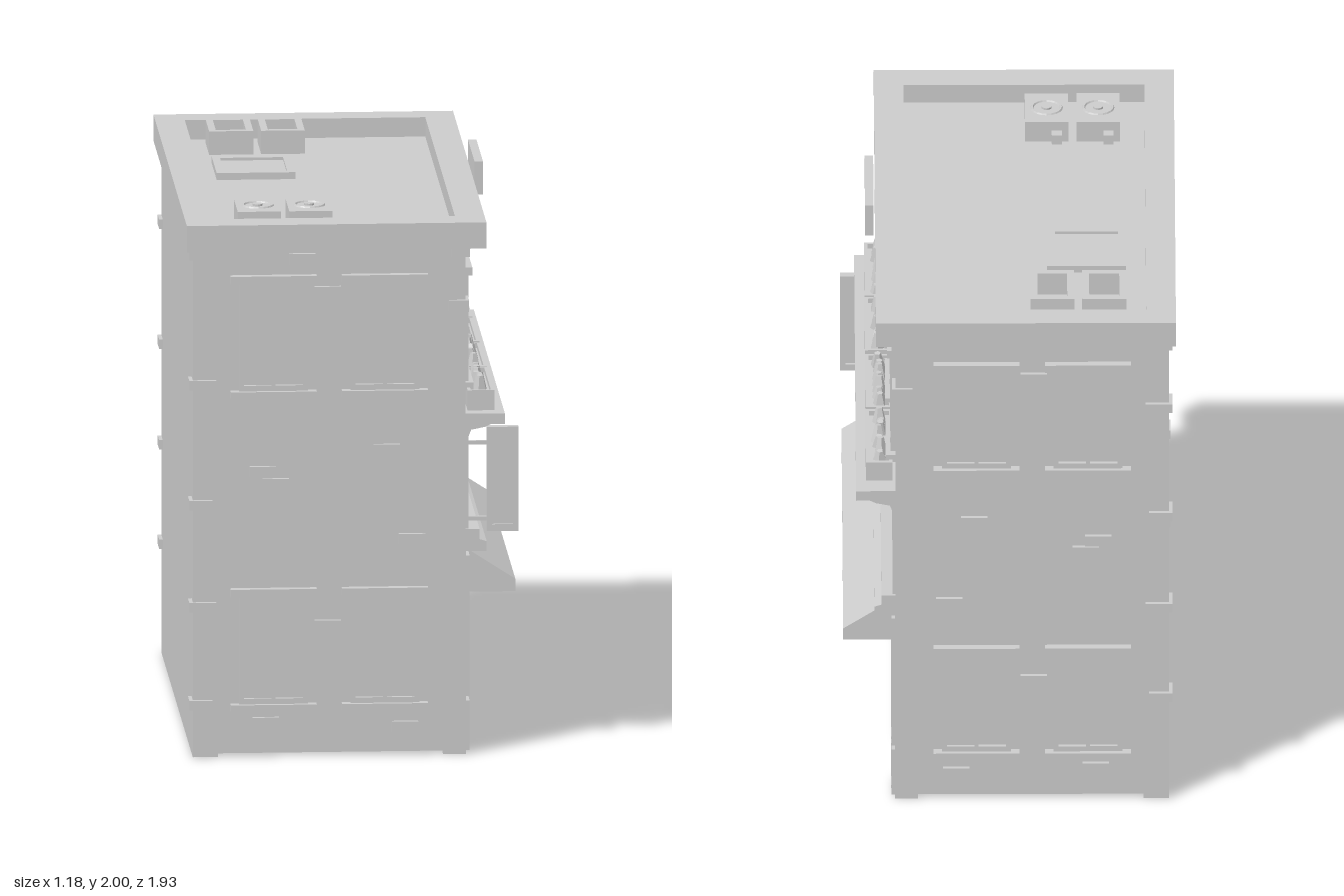
import * as THREE from 'three';

const grey = new THREE.MeshStandardMaterial({ color: 0xcccccc, flatShading: true });
const thin = new THREE.MeshStandardMaterial({ color: 0xcccccc, flatShading: true, side: THREE.DoubleSide });

function add(parent, name, geo, mat = grey) {
  const m = new THREE.Mesh(geo, mat);
  m.name = name;
  parent.add(m);
  return m;
}

// Box given by its extents
function box(parent, name, x0, x1, y0, y1, z0, z1) {
  const m = add(parent, name, new THREE.BoxGeometry(x1 - x0, y1 - y0, z1 - z0));
  m.position.set((x0 + x1) / 2, (y0 + y1) / 2, (z0 + z1) / 2);
  return m;
}

function polygon(pts) {
  return pts.map(p => new THREE.Vector2(p[0], p[1]));
}

// Moulding: an x-y profile run along z
function moulding(parent, name, pts, z0, z1) {
  const geo = new THREE.ExtrudeGeometry(new THREE.Shape(polygon(pts)), { depth: z1 - z0, bevelEnabled: false });
  add(parent, name, geo).position.z = z0;
}

// Rectangular frame in the x-y plane with rectangular holes [x0, x1, y0, y1]
function frame(parent, name, [x0, x1, y0, y1], holes, depth) {
  const rect = (a, b, c, d) => polygon([[a, c], [b, c], [b, d], [a, d]]);
  const s = new THREE.Shape(rect(x0, x1, y0, y1));
  for (const h of holes) s.holes.push(new THREE.Path(rect(...h).reverse()));
  return add(parent, name, new THREE.ExtrudeGeometry(s, { depth, bevelEnabled: false }));
}

// Two-light sash window facing +z, origin at the bottom centre of the frame
function sashWindow(parent, x, y, z, ry) {
  const g = new THREE.Group();
  g.name = 'window';
  frame(g, 'windowFrame', [-0.122, 0.122, 0, 0.39],
    [[-0.105, -0.007, 0.02, 0.37], [0.007, 0.105, 0.02, 0.37]], 0.018);
  box(g, 'windowGlass', -0.11, 0.11, 0.01, 0.38, -0.02, 0.005);
  box(g, 'lintel', -0.153, 0.153, 0.388, 0.418, -0.02, 0.03);
  box(g, 'sill', -0.153, 0.153, -0.027, 0, -0.02, 0.035);
  g.position.set(x, y, z);
  g.rotation.y = ry;
  parent.add(g);
}

export function createModel() {
  const root = new THREE.Group();
  root.name = 'shopBuilding';
  let seed = 7;
  const rnd = () => (seed = (seed * 16807) % 2147483647) / 2147483647;

  // Walls, open underneath
  box(root, 'blankWall', -0.57, -0.54, 0, 1.85, -0.9, 0.9);
  box(root, 'upperShopWall', 0.37, 0.4, 0.72, 1.85, -0.9, 0.9);

  const bricks = [[-0.18, 1.8], [-0.09, 1.68], [-0.32, 1.03], [-0.275, 0.985], [0.12, 1.105],
    [0.21, 0.78], [-0.09, 0.47], [-0.31, 0.12], [0.185, 0.1]];

  // Two end walls with windows, corner piers and projecting bricks
  for (const s of [1, -1]) {
    const end = new THREE.Group();
    end.name = s > 0 ? 'frontWall' : 'backWall';
    root.add(end);
    const slab = (name, x0, x1, y0, y1, a, b) => box(end, name, x0, x1, y0, y1, Math.min(s * a, s * b), Math.max(s * a, s * b));
    slab('endWall', -0.56, 0.39, 0.01, 1.85, 0.855, 0.885);
    slab('cornerPier', -0.57, -0.48, 0, 1.85, 0.85, 0.9);
    slab('cornerPier', 0.32, 0.4, 0, 1.85, 0.85, 0.9);
    for (const wx of [-0.283, 0.113]) for (const wy of [0.19, 1.325])
      sashWindow(end, wx, wy, s * 0.885, s > 0 ? 0 : Math.PI);
    for (const [x, y] of bricks) slab('brick', x - 0.047, x + 0.047, y - 0.02, y + 0.02, 0.87, 0.9);

    // Bricks wrapping the corners
    const ys = s > 0 ? [1.35, 0.915, 0.545, 0.19] : [1.57, 1.135, 0.77, 0.41];
    ys.forEach((y, i) => slab('cornerBrick', -0.583, i % 2 ? -0.5 : -0.487, y - 0.017, y + 0.017, 0.83, 0.915));
    slab('cornerBrick', 0.34, 0.412, 1.605, 1.647, 0.825, 0.912);
    slab('corniceBracket', -0.582, -0.5, 1.805, 1.85, 0.83, 0.917);
    slab('corniceBracket', 0.35, 0.415, 1.805, 1.85, 0.83, 0.917);
    slab('brick', 0.38, 0.415, 1.655, 1.695, 0.415, 0.505);
  }

  // Cornice ring with the sunken roof inside it
  const cornice = frame(root, 'roofCornice', [-0.595, 0.47, -0.965, 0.965], [[-0.49, 0.365, -0.85, 0.86]], 0.095);
  cornice.rotation.x = -Math.PI / 2;
  cornice.position.y = 1.845;
  box(root, 'roofDeck', -0.54, 0.38, 1.848, 1.87, -0.88, 0.88);
  box(root, 'parapetSign', 0.475, 0.505, 1.88, 2, -0.18, 0.2);

  // Rooftop cooling units with a round fan and a pipe
  for (const x of [-0.325, -0.142]) {
    const unit = new THREE.Group();
    unit.name = 'coolingUnit';
    unit.position.set(x, 1.86, 0.66);
    box(unit, 'unitBody', -0.077, 0.077, 0, 0.088, -0.11, 0.11);
    const ring = add(unit, 'fanRing', new THREE.TorusGeometry(0.052, 0.006, 6, 20));
    ring.rotation.x = Math.PI / 2;
    ring.position.y = 0.088;
    add(unit, 'fanHub', new THREE.CylinderGeometry(0.018, 0.018, 0.01, 12)).position.y = 0.09;
    box(unit, 'unitPipe', -0.055, -0.018, 0.02, 0.055, -0.15, -0.11);
    root.add(unit);
  }

  // Rooftop vents and hatch
  const roofFrame = (name, x0, x1, z0, z1, rim, y1) => {
    const f = frame(root, name, [x0, x1, -z1, -z0], [[x0 + rim, x1 - rim, -z1 + rim, -z0 - rim]], y1 - 1.86);
    f.rotation.x = -Math.PI / 2;
    f.position.y = 1.86;
  };
  roofFrame('roofVent', -0.42, -0.263, -0.81, -0.59, 0.025, 1.955);
  roofFrame('roofVent', -0.235, -0.08, -0.81, -0.59, 0.025, 1.955);
  roofFrame('roofHatch', -0.42, -0.14, -0.445, -0.155, 0.028, 1.895);
  box(root, 'hatchLid', -0.4, -0.16, 1.86, 1.885, -0.425, -0.175);

  // Upper windows over the shop, with planted flower boxes
  for (const z of [0.648, 0.212, -0.215, -0.647]) sashWindow(root, 0.4, 1.325, z, Math.PI / 2);
  for (const z of [0.65, 0.233, -0.2, -0.62]) {
    const planter = new THREE.Group();
    planter.name = 'flowerBox';
    planter.position.z = z;
    root.add(planter);
    box(planter, 'boxBase', 0.41, 0.505, 1.235, 1.29, -0.202, 0.202);
    const rim = frame(planter, 'boxRim', [0.41, 0.505, -0.202, 0.202], [[0.422, 0.493, -0.19, 0.19]], 0.02);
    rim.rotation.x = -Math.PI / 2;
    rim.position.y = 1.288;
    for (let i = 0; i < 7; i++) {
      const h = 0.04 + 0.028 * rnd();
      const plant = add(planter, 'plant', new THREE.CylinderGeometry(0.012, 0.027, h, 5));
      plant.position.set(0.45 + 0.012 * rnd(), 1.285 + h / 2, -0.145 + i * 0.048);
      plant.rotation.set(0.5 * rnd() - 0.25, rnd() * 6, 0);
    }
  }

  // Sign fascia between two mouldings
  box(root, 'signFascia', 0.39, 0.41, 0.8, 1.16, -0.89, 0.89);
  moulding(root, 'upperMoulding', [[0.39, 1.15], [0.41, 1.15], [0.42, 1.175], [0.47, 1.185], [0.49, 1.195],
    [0.54, 1.195], [0.54, 1.232], [0.39, 1.235]], -0.9, 0.9);
  moulding(root, 'lowerMoulding', [[0.39, 0.735], [0.475, 0.735], [0.475, 0.77], [0.45, 0.778], [0.45, 0.815], [0.39, 0.815]], -0.9, 0.9);

  // Hanging sign on two arms
  for (const y of [0.845, 1.12]) box(root, 'signArm', 0.4, 0.48, y - 0.007, y + 0.007, 0.849, 0.863);
  box(root, 'hangingSignPanel', 0.49, 0.575, 0.82, 1.16, 0.85, 0.862);
  frame(root, 'hangingSignFrame', [0.477, 0.59, 0.8, 1.178], [[0.496, 0.571, 0.825, 1.155]], 0.03).position.z = 0.841;

  // Awning: sloping sheet with valance and closed ends
  const awning = new THREE.Group();
  awning.name = 'awning';
  root.add(awning);
  const slope = add(awning, 'awningSheet', new THREE.PlaneGeometry(1.52, Math.hypot(0.185, 0.12)), thin);
  slope.rotation.set(-Math.atan2(0.185, 0.12), Math.PI / 2, 0, 'YXZ');
  slope.position.set(0.4925, 0.665, 0.008);
  const valance = add(awning, 'awningValance', new THREE.PlaneGeometry(1.52, 0.045), thin);
  valance.rotation.y = Math.PI / 2;
  valance.position.set(0.585, 0.5825, 0.008);
  const side = new THREE.ShapeGeometry(new THREE.Shape(polygon([[0.4, 0.56], [0.585, 0.56], [0.585, 0.605], [0.4, 0.725]])));
  for (const z of [-0.752, 0.768]) add(awning, 'awningEnd', side, thin).position.z = z;

  // Panelled shop piers
  for (const [z0, z1] of [[0.77, 0.9], [-0.9, -0.752]]) {
    box(root, 'shopPier', 0.34, 0.402, 0, 0.74, z0, z1);
    for (const [y0, y1] of [[0.012, 0.192], [0.208, 0.718]]) {
      const w = z1 - z0;
      const f = frame(root, 'pierPanel', [-w / 2 + 0.008, w / 2 - 0.008, y0, y1],
        [[-w / 2 + 0.02, w / 2 - 0.02, y0 + 0.012, y1 - 0.012]], 0.014);
      f.rotation.y = Math.PI / 2;
      f.position.set(0.401, 0, (z0 + z1) / 2);
    }
  }

  // Shop window above its stall riser
  box(root, 'stallRiser', 0.36, 0.39, 0, 0.215, -0.435, 0.77);
  box(root, 'shopGlass', 0.365, 0.372, 0.2, 0.73, -0.43, 0.77);
  const panes = [[0.465, 0.737], [0.175, 0.45], [-0.115, 0.16], [-0.43, -0.13]];
  const shopFrame = frame(root, 'shopWindowFrame', [-0.77, 0.44, 0.205, 0.73],
    panes.map(([a, b]) => [-b, -a, 0.212, 0.62]), 0.025);
  shopFrame.rotation.y = Math.PI / 2;
  shopFrame.position.x = 0.363;

  // Recessed entrance with door
  box(root, 'entranceSide', 0.28, 0.38, 0, 0.73, -0.445, -0.43);
  box(root, 'entranceCeiling', 0.28, 0.39, 0.71, 0.73, -0.76, -0.43);
  box(root, 'entranceWall', 0.27, 0.29, 0, 0.73, -0.76, -0.43);
  const door = frame(root, 'door', [0.485, 0.7, 0.01, 0.68], [[0.512, 0.67, 0.035, 0.62]], 0.02);
  door.rotation.y = Math.PI / 2;
  door.position.x = 0.285;
  box(root, 'doorHandle', 0.3, 0.325, 0.27, 0.325, -0.522, -0.51);

  return root;
}
